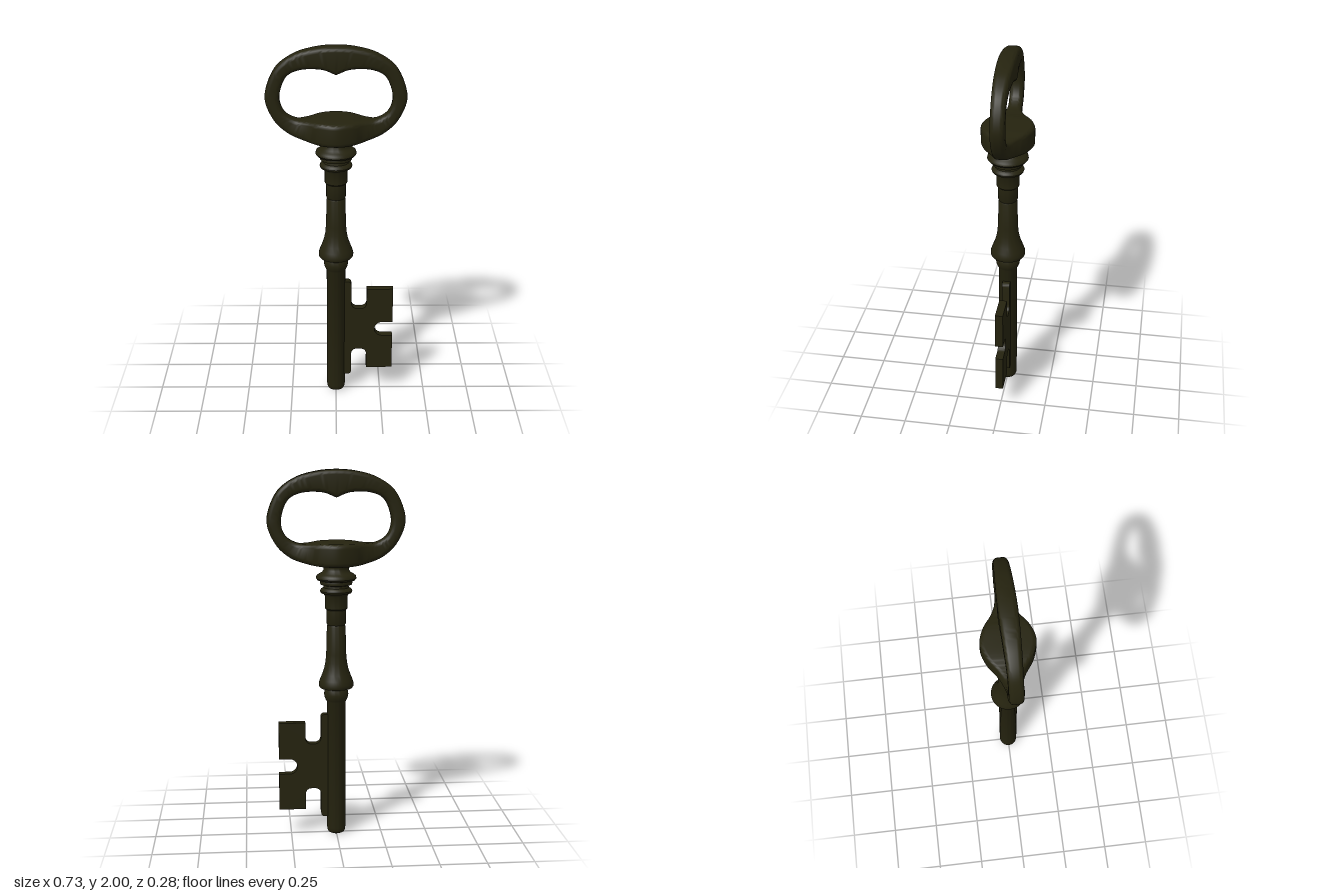
import * as THREE from 'three';
import { toCreasedNormals } from 'three/addons/utils/BufferGeometryUtils.js';

const iron = new THREE.MeshStandardMaterial({ color: 0x25230f });
iron.name = 'dark iron';

function addMesh(group, name, geometry) {
  const mesh = new THREE.Mesh(geometry, iron);
  mesh.name = name;
  group.add(mesh);
}

// Turned shaft with beads, flare and collars: [radius, height]
function shaftGeometry() {
  const profile = [
    [0, 0], [0.034, 0.001], [0.044, 0.007], [0.049, 0.018], [0.051, 0.035], [0.051, 0.755],
    [0.057, 0.765], [0.063, 0.78], [0.066, 0.797], [0.063, 0.815], [0.058, 0.83],
    [0.088, 0.834], [0.094, 0.843], [0.094, 0.858], [0.087, 0.88], [0.075, 0.91],
    [0.065, 0.94], [0.058, 0.975], [0.054, 1.02], [0.05, 1.17], [0.047, 1.178], [0.052, 1.186],
    [0.052, 1.26], [0.06, 1.268], [0.06, 1.335], [0.067, 1.345], [0.082, 1.352], [0.086, 1.362],
    [0.082, 1.372], [0.068, 1.38], [0.066, 1.392], [0.083, 1.397], [0.087, 1.408], [0.084, 1.416],
    [0.1, 1.42], [0.108, 1.43], [0.105, 1.443], [0.092, 1.453], [0.076, 1.462], [0.068, 1.474],
    [0.066, 1.49], [0.072, 1.503], [0.08, 1.512], [0, 1.53],
  ].map(([r, y]) => new THREE.Vector2(r, y));
  return toCreasedNormals(new THREE.LatheGeometry(profile, 48), 0.75);
}

// Handle ring: rounded rectangular sections between an outer and an inner curve
function bowGeometry() {
  // outer x, outer y, inner x, inner y, half depth; from top centre to bottom centre
  const half = [
    [0, 2.0, 0, 1.855, 0.047], [0.11, 1.99, 0.075, 1.882, 0.045], [0.22, 1.956, 0.18, 1.88, 0.041],
    [0.315, 1.88, 0.255, 1.84, 0.037], [0.365, 1.74, 0.29, 1.74, 0.037], [0.325, 1.62, 0.27, 1.66, 0.037],
    [0.25, 1.545, 0.21, 1.62, 0.039], [0.16, 1.512, 0.15, 1.615, 0.068],
    [0.08, 1.501, 0.08, 1.62, 0.117], [0, 1.5, 0, 1.62, 0.14],
  ];
  const mirrored = half.slice(1, -1).reverse().map(([a, b, c, d, h]) => [-a, b, -c, d, h]);
  const loop = [...half, ...mirrored];
  const outer = new THREE.CatmullRomCurve3(
    loop.map((p) => new THREE.Vector3(p[0], p[1], p[4])), true, 'catmullrom', 0.5);
  // The inner curve is open so that it keeps its point at the top centre
  const inner = new THREE.CatmullRomCurve3(
    [...loop, loop[0]].map((p) => new THREE.Vector3(p[2], p[3], 0)), false, 'catmullrom', 0.5);

  const rings = 144, arc = 5, sides = 4 * (arc + 1);
  const positions = [], index = [];
  for (let i = 0; i < rings; i++) {
    const o = outer.getPoint(i / rings), n = inner.getPoint(i / rings);
    const depth = o.z;
    o.z = 0;
    const width = o.distanceTo(n) / 2;
    const radius = Math.min(0.024, width * 0.7, depth * 0.65);
    const across = o.clone().sub(n).normalize();
    const middle = o.clone().add(n).multiplyScalar(0.5);
    for (let c = 0; c < 4; c++) {
      const su = c === 0 || c === 3 ? 1 : -1, sv = c < 2 ? 1 : -1;
      for (let k = 0; k <= arc; k++) {
        const angle = (c + k / arc) * Math.PI / 2;
        const u = su * (width - radius) + radius * Math.cos(angle);
        const v = sv * (depth - radius) + radius * Math.sin(angle);
        positions.push(middle.x + across.x * u, middle.y + across.y * u, v);
      }
    }
    for (let j = 0; j < sides; j++) {
      const a = i * sides + j, b = i * sides + (j + 1) % sides;
      const next = ((i + 1) % rings) * sides;
      const d = next + j, e = next + (j + 1) % sides;
      index.push(a, d, b, b, d, e);
    }
  }
  const geometry = new THREE.BufferGeometry();
  geometry.setAttribute('position', new THREE.Float32BufferAttribute(positions, 3));
  geometry.setIndex(index);
  // Make sure the faces point outwards
  const p = new THREE.Vector3().fromArray(positions, 0);
  const q = new THREE.Vector3().fromArray(positions, sides * 3);
  const r = new THREE.Vector3().fromArray(positions, 3);
  const normal = q.sub(p).cross(r.sub(p));
  if (normal.y < 0) {
    for (let t = 0; t < index.length; t += 3) [index[t + 1], index[t + 2]] = [index[t + 2], index[t + 1]];
    geometry.setIndex(index);
  }
  return toCreasedNormals(geometry, 0.7);
}

// Flat toothed plate beside the shaft
function bitGeometry() {
  const s = new THREE.Shape();
  s.moveTo(0.03, 0.1);
  s.lineTo(0.065, 0.1);
  s.quadraticCurveTo(0.085, 0.1, 0.085, 0.125);
  s.lineTo(0.085, 0.23);
  s.quadraticCurveTo(0.087, 0.265, 0.12, 0.265);
  s.lineTo(0.135, 0.265);
  s.quadraticCurveTo(0.168, 0.265, 0.17, 0.23);
  s.lineTo(0.17, 0.145);
  s.lineTo(0.315, 0.145);
  s.lineTo(0.315, 0.35);
  s.lineTo(0.255, 0.35);
  s.absarc(0.257, 0.3925, 0.0425, -Math.PI / 2, Math.PI / 2, true);
  s.lineTo(0.315, 0.435);
  s.lineTo(0.315, 0.64);
  s.lineTo(0.17, 0.64);
  s.lineTo(0.17, 0.555);
  s.quadraticCurveTo(0.168, 0.52, 0.135, 0.52);
  s.lineTo(0.12, 0.52);
  s.quadraticCurveTo(0.087, 0.52, 0.085, 0.555);
  s.lineTo(0.085, 0.66);
  s.quadraticCurveTo(0.085, 0.685, 0.065, 0.685);
  s.lineTo(0.03, 0.685);
  s.closePath();
  const geometry = new THREE.ExtrudeGeometry(s, { depth: 0.042, bevelEnabled: false, curveSegments: 10 });
  geometry.translate(0, 0, -0.021);
  return toCreasedNormals(geometry, 0.6);
}

export function createModel() {
  const key = new THREE.Group();
  key.name = 'key';
  addMesh(key, 'shaft', shaftGeometry());
  addMesh(key, 'bow', bowGeometry());
  addMesh(key, 'bit', bitGeometry());
  return key;
}
